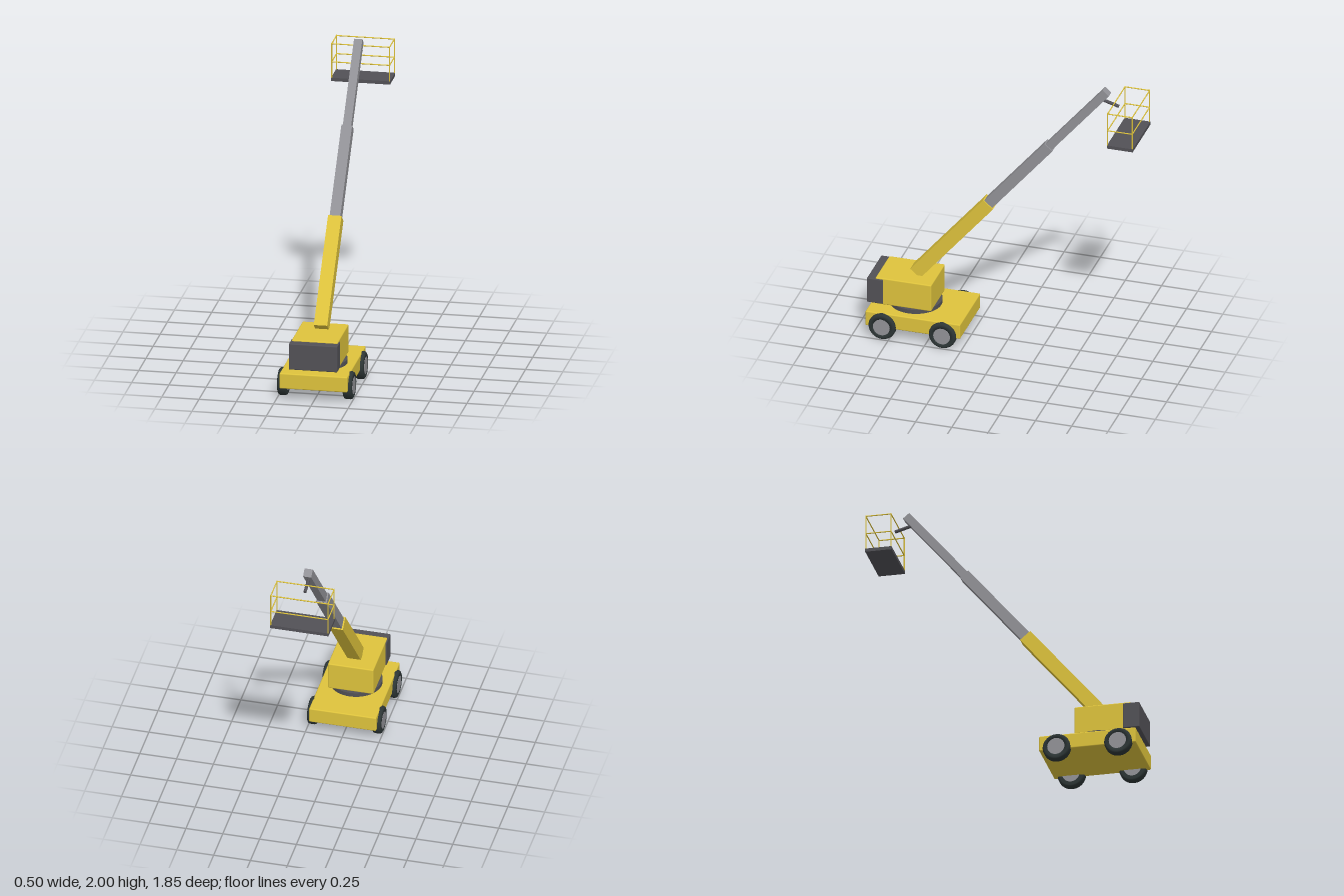
import * as THREE from 'three';
import { RoundedBoxGeometry } from 'three/addons/geometries/RoundedBoxGeometry.js';

const mat = (name, color) => {
  const m = new THREE.MeshStandardMaterial({ color });
  m.name = name;
  return m;
};

export function createModel() {
  const yellow = mat('yellowPaint', 0xdec33c);
  const steel = mat('steelGrey', 0x929297);
  const dark = mat('darkGrey', 0x525156);
  const rubber = mat('tyreRubber', 0x2d3636);

  const model = new THREE.Group();
  model.name = 'boomLift';
  const add = (name, geometry, material, parent = model) => {
    const mesh = new THREE.Mesh(geometry, material);
    mesh.name = name;
    parent.add(mesh);
    return mesh;
  };
  // Box given by its lowest and highest corners, softly rounded when r > 0
  const block = (name, lo, hi, material, r = 0, parent = model) => {
    const s = hi.map((v, i) => v - lo[i]);
    const g = r ? new RoundedBoxGeometry(...s, 2, r) : new THREE.BoxGeometry(...s);
    add(name, g, material, parent).position.set(...hi.map((v, i) => (v + lo[i]) / 2));
  };
  // Round bar between two points
  const bar = (name, a, b, radius, material, parent = model, sides = 8) => {
    const p = new THREE.Vector3(...a), q = new THREE.Vector3(...b);
    const dir = q.clone().sub(p);
    const mesh = add(name, new THREE.CylinderGeometry(radius, radius, dir.length(), sides), material, parent);
    mesh.position.copy(p).add(q).multiplyScalar(0.5);
    mesh.quaternion.setFromUnitVectors(new THREE.Vector3(0, 1, 0), dir.normalize());
  };

  // Chassis, turntable and turret
  block('chassis', [-0.228, 0.08, 0.26], [0.228, 0.187, 0.914], yellow, 0.008);
  add('turntable', new THREE.CylinderGeometry(0.175, 0.175, 0.036, 40), dark).position.set(0, 0.198, 0.634);
  block('turret', [-0.155, 0.213, 0.482], [0.155, 0.409, 0.867], yellow, 0.008);
  block('counterweight', [-0.163, 0.22, 0.813], [0.163, 0.4, 0.924], dark, 0.006);

  // Wheels: tyre turned from a rounded profile, with a flat hub
  const tyreProfile = [
    [0.056, -0.03], [0.08, -0.031], [0.088, -0.026], [0.093, -0.016],
    [0.093, 0.016], [0.088, 0.026], [0.08, 0.031], [0.056, 0.03], [0.056, -0.03],
  ].map(([r, y]) => new THREE.Vector2(r, y));
  const tyreGeometry = new THREE.LatheGeometry(tyreProfile, 32);
  const hubGeometry = new THREE.CylinderGeometry(0.058, 0.058, 0.063, 32);
  for (const side of [1, -1]) {
    for (const [end, z] of [['rear', 0.796], ['front', 0.38]]) {
      const wheel = new THREE.Group();
      wheel.name = `${end}Wheel${side > 0 ? 'Left' : 'Right'}`;
      wheel.position.set(side * 0.22, 0.094, z);
      wheel.rotation.z = -side * Math.PI / 2;
      add('tyre', tyreGeometry, rubber, wheel);
      add('hub', hubGeometry, steel, wheel);
      model.add(wheel);
    }
  }

  // Telescopic boom: three nested square sections along one tilted axis
  const boom = new THREE.Group();
  boom.name = 'boom';
  boom.position.set(0, 0.421, 0.626);
  boom.rotation.x = -THREE.MathUtils.degToRad(40);
  model.add(boom);
  const h = (w) => w / 2;
  for (const [name, w, from, to, material] of [
    ['boomBase', 0.09, 0, 0.78, yellow],
    ['boomMiddle', 0.072, 0.7, 1.425, steel],
    ['boomTip', 0.056, 1.35, 2.038, steel],
  ]) block(name, [-h(w), from, -h(w)], [h(w), to, h(w)], material, 0, boom);

  // Arm carrying the basket
  bar('basketArm', [0, 1.92, -0.64], [0, 1.884, -0.766], 0.011, dark, model, 12);

  // Basket: floor, corner posts and two rings of rails
  const basket = new THREE.Group();
  basket.name = 'basket';
  model.add(basket);
  const X = 0.198, Z0 = -0.922, Z1 = -0.744, R = 0.004;
  block('basketFloor', [-X, 1.667, Z0], [X, 1.69, Z1], dark, 0, basket);
  const x = X - R, z0 = Z0 + R, z1 = Z1 - R;
  const corners = [[-x, z0], [x, z0], [x, z1], [-x, z1]];
  corners.forEach(([ax, az], i) => {
    const [bx, bz] = corners[(i + 1) % 4];
    bar('basketPost', [ax, 1.685, az], [ax, 1.93, az], R, yellow, basket);
    for (const y of [1.8, 1.926]) bar('basketRail', [ax, y, az], [bx, y, bz], R, yellow, basket);
  });

  return model;
}
